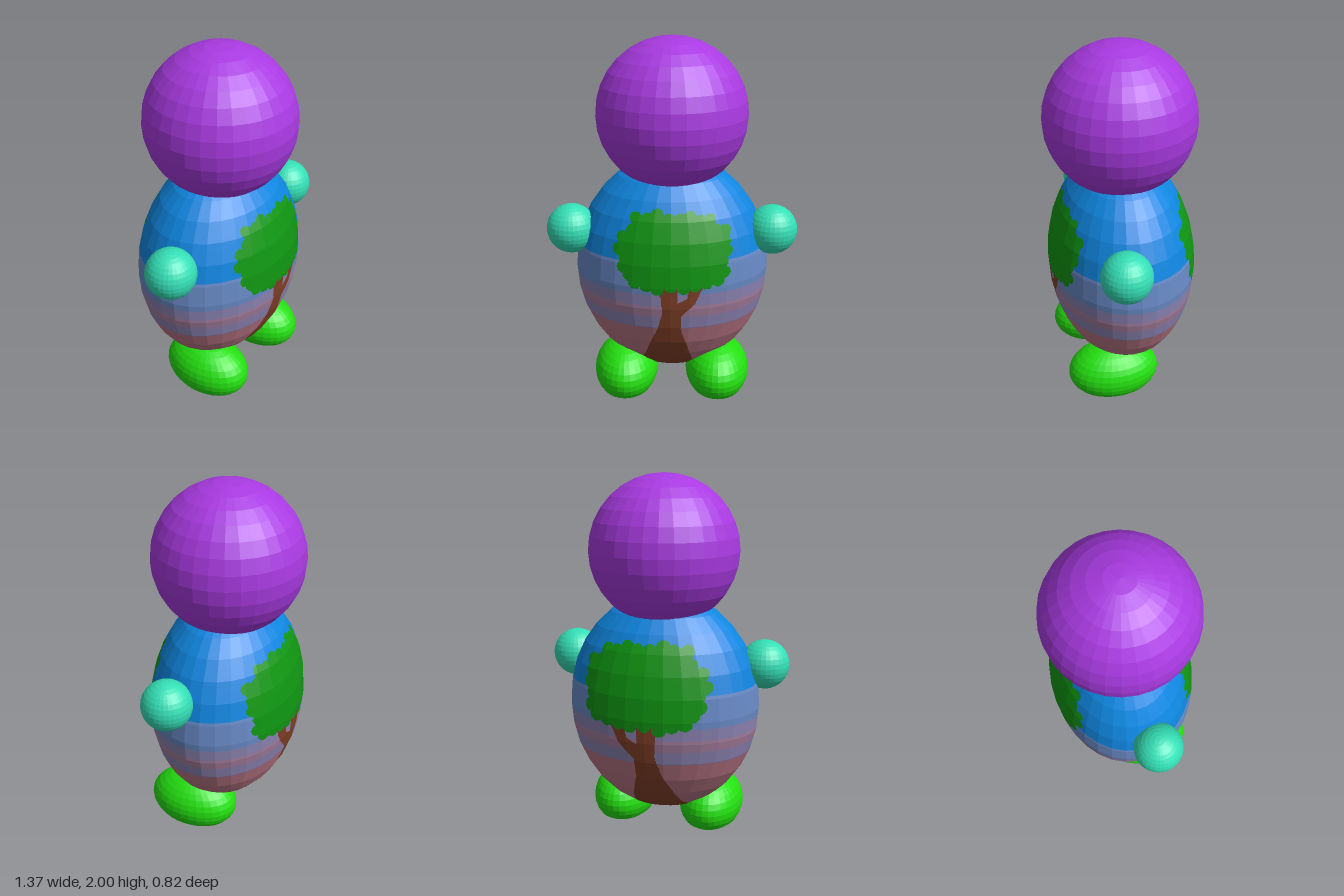
import * as THREE from 'three';

const mat = (name, color) => {
  const m = new THREE.MeshStandardMaterial({ color });
  m.name = name;
  return m;
};

const SEG = 32, RINGS = 16;

// Faceted ellipsoid, with an optional rule that moves its vertices
function ball(name, material, [rx, ry, rz], [x, y, z], rule) {
  let g = new THREE.SphereGeometry(1, SEG, RINGS);
  g.scale(rx, ry, rz);
  if (rule) {
    const p = g.attributes.position;
    for (let i = 0; i < p.count; i++) p.setY(i, rule(p.getY(i)));
  }
  g = g.toNonIndexed();
  g.computeVertexNormals();
  const mesh = new THREE.Mesh(g, material);
  mesh.name = name;
  mesh.position.set(x, y, z);
  return mesh;
}

// Tree outlines, in front-view x and y
const FOLIAGE = [
  [-0.27, 0.94], [-0.25, 1.0], [-0.2, 1.04], [-0.18, 1.1], [-0.12, 1.1], [-0.07, 1.12],
  [-0.01, 1.1], [0.05, 1.1], [0.1, 1.11], [0.15, 1.09], [0.2, 1.09], [0.23, 1.04],
  [0.28, 1.03], [0.28, 0.98], [0.29, 0.93], [0.27, 0.88], [0.28, 0.82], [0.25, 0.78],
  [0.19, 0.77], [0.13, 0.76], [0.07, 0.75], [0.0, 0.76], [-0.07, 0.74], [-0.13, 0.76],
  [-0.19, 0.77], [-0.22, 0.81], [-0.25, 0.85], [-0.24, 0.9],
];
const TRUNK = [
  [-0.17, 0.05], [-0.155, 0.26], [-0.11, 0.4], [-0.07, 0.5], [-0.045, 0.6], [-0.06, 0.75],
  [0.035, 0.75], [0.035, 0.66], [0.085, 0.69], [0.1, 0.75], [0.17, 0.75], [0.13, 0.66],
  [0.055, 0.58], [0.055, 0.48], [0.09, 0.36], [0.12, 0.22], [0.14, 0.05],
];

function inside(poly, x, y) {
  let hit = false;
  for (let i = 0, j = poly.length - 1; i < poly.length; j = i++) {
    const [ax, ay] = poly[i], [bx, by] = poly[j];
    if ((ay > y) !== (by > y) && x < ((bx - ax) * (y - ay)) / (by - ay) + ax) hit = !hit;
  }
  return hit;
}

// Material index for a point on the body: tree first, then the sky bands
function bodyColour(p) {
  let { x, y } = p;
  if (p.z < 0) { // the tree on the back is a little larger
    x /= 1.13;
    y = 0.72 + (y - 0.68) * 0.9;
  }
  if (inside(FOLIAGE, x, y) || FOLIAGE.some(([a, b]) => Math.hypot(x - a, y - b) < 0.034)) return 0;
  if (inside(TRUNK, x, y)) return 1;
  if (p.y > 0.885) return 2;
  if (p.y > 0.71) return 3;
  if (p.y > 0.64) return 4;
  if (p.y > 0.575) return 5;
  return p.y > 0.505 ? 4 : 6;
}

// Faceted ellipsoid whose flat facets are cut into runs of equal colour
function paintedBody(materials, [rx, ry, rz], cy) {
  const N = 20;
  const buckets = materials.map(() => []);
  const corner = (i, j) => {
    const t = (i / RINGS) * Math.PI, f = (j / SEG) * Math.PI * 2;
    return new THREE.Vector3(rx * Math.sin(t) * Math.sin(f), cy + ry * Math.cos(t), rz * Math.sin(t) * Math.cos(f));
  };
  for (let i = 0; i < RINGS; i++) for (let j = 0; j < SEG; j++) {
    const a = corner(i, j), b = corner(i + 1, j), c = corner(i + 1, j + 1), d = corner(i, j + 1);
    const at = (u, v) => a.clone().lerp(b, v).lerp(d.clone().lerp(c, v), u);
    for (let r = 0; r < N; r++) {
      const v0 = r / N, v1 = (r + 1) / N;
      let start = 0, colour = bodyColour(at(0.5 / N, (v0 + v1) / 2));
      for (let k = 1; k <= N; k++) {
        const next = k < N ? bodyColour(at((k + 0.5) / N, (v0 + v1) / 2)) : -1;
        if (next === colour) continue;
        const q = [at(start / N, v0), at(start / N, v1), at(k / N, v1), at(k / N, v0)];
        for (const n of [0, 1, 2, 0, 2, 3]) buckets[colour].push(q[n].x, q[n].y, q[n].z);
        start = k;
        colour = next;
      }
    }
  }
  const g = new THREE.BufferGeometry();
  let offset = 0;
  buckets.forEach((list, n) => {
    g.addGroup(offset, list.length / 3, n);
    offset += list.length / 3;
  });
  g.setAttribute('position', new THREE.Float32BufferAttribute(buckets.flat(), 3));
  g.computeVertexNormals();
  const mesh = new THREE.Mesh(g, materials);
  mesh.name = 'body';
  return mesh;
}

export function createModel() {
  const purple = mat('head purple', 0xa93ae2);
  const teal = mat('hand teal', 0x34dfb6);
  const lime = mat('foot green', 0x24e010);
  const bodyMaterials = [
    mat('leaf green', 0x109612), mat('bark brown', 0x824028), mat('sky blue', 0x0f86e0),
    mat('haze blue', 0x698bc8), mat('dusk mauve', 0x8c83b3), mat('dusk pink', 0xa57e9e),
    mat('dusk rose', 0xb97686),
  ];

  const model = new THREE.Group();
  model.name = 'figure';
  model.add(paintedBody(bodyMaterials, [0.537, 0.62, 0.41], 0.745));
  model.add(ball('head', purple, [0.41, 0.41, 0.41], [0, 1.59, 0]));

  // Hands and flat-soled feet, mirrored
  const sole = (y) => (y < -0.11 ? -0.11 + (y + 0.11) / 3 : y);
  for (const [side, s] of [['left', 1], ['right', -1]]) {
    model.add(ball(side + 'Hand', teal, [0.136, 0.136, 0.136], [0.549 * s, 0.97, 0.09]));
    model.add(ball(side + 'Foot', lime, [0.18, 0.17, 0.26], [0.26 * s, 0.13, 0.1], sole));
  }
  return model;
}
